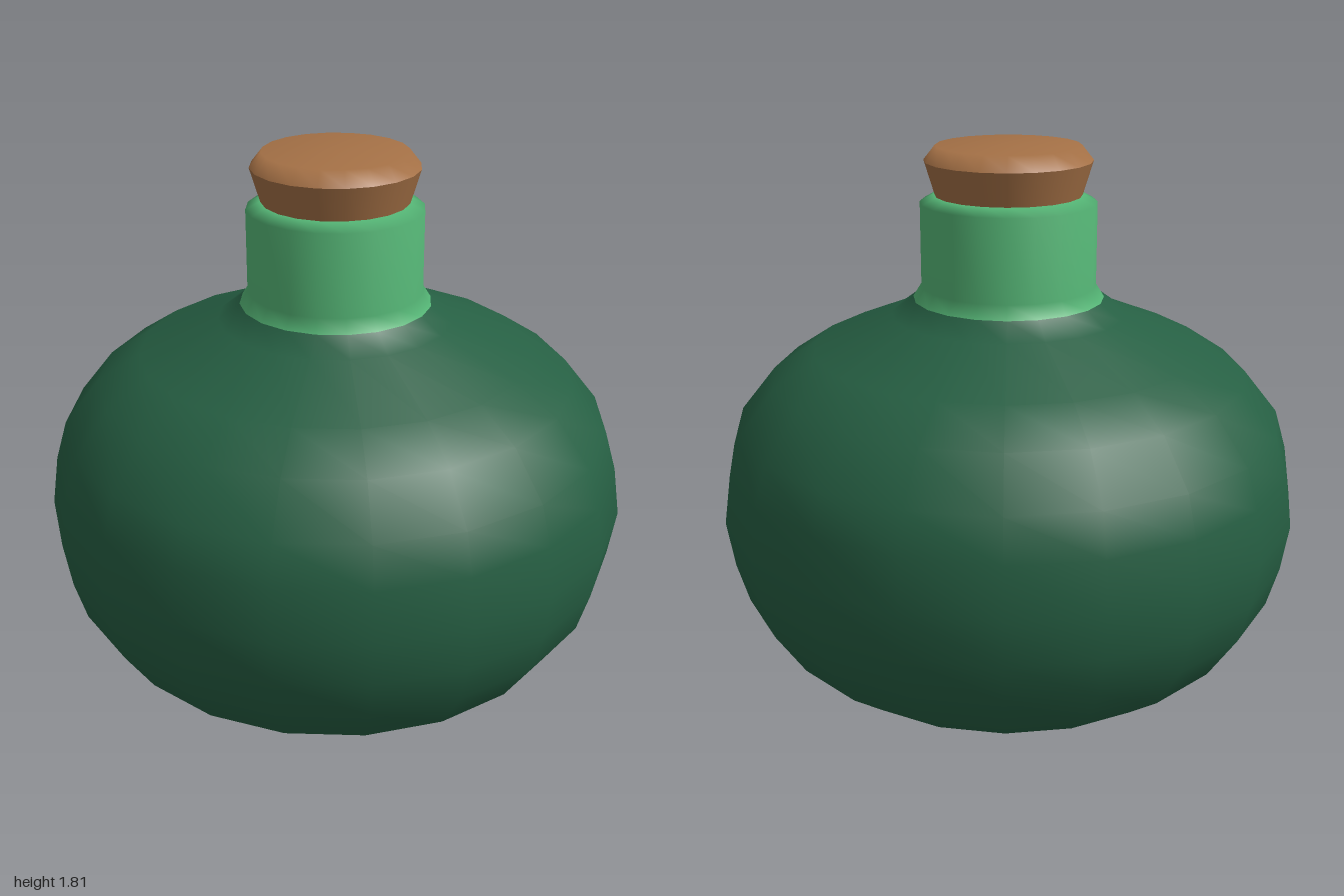
import * as THREE from 'three';

const SIDES = 20;

const green = new THREE.MeshStandardMaterial({ color: 0x265f43 });
green.name = 'dark green glass';
const lightGreen = new THREE.MeshStandardMaterial({ color: 0x55b676 });
lightGreen.name = 'light green glass';
const brown = new THREE.MeshStandardMaterial({ color: 0xa57146 });
brown.name = 'cork brown';

// Smooth turned surface from [radius, height] pairs; separate calls leave a crease between them
function turned(name, material, profile) {
  const points = profile.map(([r, y]) => new THREE.Vector2(r, y));
  const geometry = new THREE.LatheGeometry(points, SIDES);
  geometry.normalizeNormals();
  const mesh = new THREE.Mesh(geometry, material);
  mesh.name = name;
  return mesh;
}

export function createModel() {
  const bottle = new THREE.Group();
  bottle.name = 'corkedBottle';

  // Squat round body with a flat base, its shoulder running up into the neck
  bottle.add(
    turned('base', green, [[0, 0], [0.66, 0]]),
    turned('body', green, [
      [0.66, 0], [0.70, 0.02], [0.83, 0.12], [0.935, 0.28], [0.975, 0.42],
      [1, 0.58], [0.975, 0.75], [0.935, 0.885], [0.815, 1.035], [0.67, 1.13],
      [0.40, 1.24], [0.325, 1.295], [0.28, 1.36],
    ]),
  );

  // Neck with a flared foot and a rounded lip turned in towards the cork
  bottle.add(turned('neck', lightGreen, [
    [0.325, 1.295], [0.297, 1.34], [0.297, 1.62], [0.25, 1.645], [0.21, 1.635],
  ]));

  // Tapered cork with a bevelled, softly shaded top
  const cork = new THREE.Group();
  cork.name = 'cork';
  cork.add(
    turned('corkSide', brown, [[0.24, 1.62], [0.282, 1.758]]),
    turned('corkTop', brown, [[0.282, 1.758], [0.243, 1.807], [0, 1.807]]),
    turned('corkUnderside', brown, [[0, 1.62], [0.24, 1.62]]),
  );
  bottle.add(cork);

  return bottle;
}
